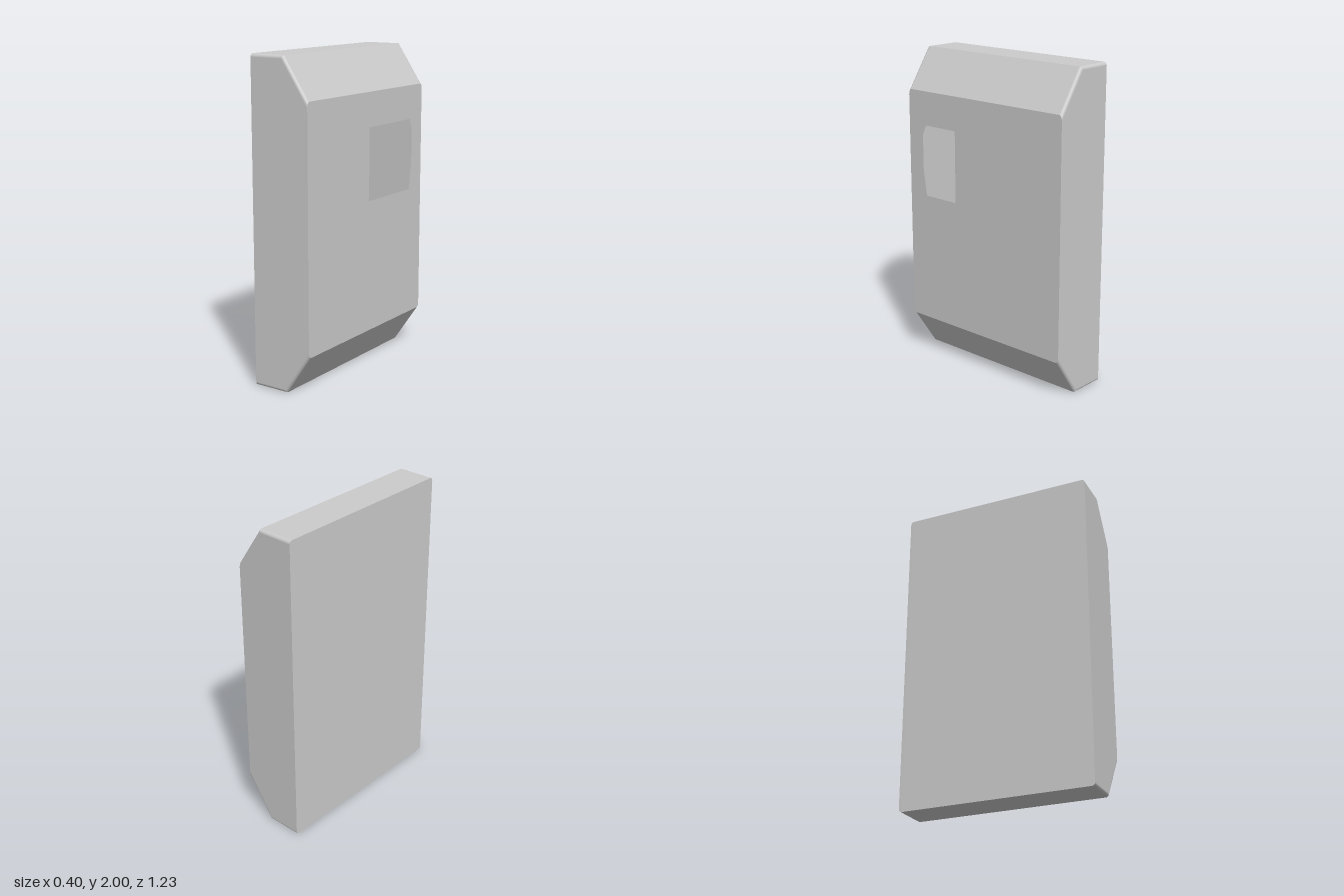
import * as THREE from 'three';

const HALF = 0.617;   // half depth along z
const R = 0.02;       // rounding of the side rims
const STEPS = 6;

// Bevelled outline in x/y, its top, bottom and slopes moved inward by d
function profile(d) {
  const x = 0.03 - 0.53 * d, y = 0.25 + 1.78 * d;
  return [[-0.2, d], [x, d], [0.2, y], [0.2, 2 - y], [x, 2 - d], [-0.2, 2 - d]];
}

// Cross-sections from one side to the other, rounding over at both rims
const sections = [];
for (const side of [-1, 1]) {
  for (let i = 0; i <= STEPS; i++) {
    const a = (side < 0 ? i - STEPS : i) / STEPS * Math.PI / 2;
    sections.push({
      a,
      z: side * (HALF - R) + R * Math.sin(a),
      points: profile(R * (1 - Math.cos(a))),
    });
  }
}

// One flat face of the outline run across all sections, with smooth rims
function strip(edge) {
  const pos = [], nor = [], index = [];
  const [p, q] = [profile(0)[edge], profile(0)[edge + 1]];
  const n = new THREE.Vector2(q[1] - p[1], p[0] - q[0]).normalize();
  sections.forEach(({ a, z, points }, k) => {
    for (const pt of [points[edge], points[edge + 1]]) {
      pos.push(pt[0], pt[1], z);
      nor.push(n.x * Math.cos(a), n.y * Math.cos(a), Math.sin(a));
    }
    if (k > 0) {
      const o = 2 * k - 2;
      index.push(o, o + 1, o + 2, o + 1, o + 3, o + 2);
    }
  });
  const g = new THREE.BufferGeometry();
  g.setAttribute('position', new THREE.Float32BufferAttribute(pos, 3));
  g.setAttribute('normal', new THREE.Float32BufferAttribute(nor, 3));
  g.setIndex(index);
  return g;
}

const toShape = (pts) => new THREE.Shape(pts.map(([x, y]) => new THREE.Vector2(x, y)));

// Outline of an upright panel in z/y, between two corners of the profile
function panelShape(low, high) {
  const bottom = sections.map((s) => [s.z, s.points[low][1]]);
  const top = sections.map((s) => [s.z, s.points[high][1]]).reverse();
  return toShape([...bottom, ...top]);
}

export function createModel() {
  const group = new THREE.Group();
  const material = new THREE.MeshStandardMaterial({ color: 0xcccccc, side: THREE.DoubleSide });
  const add = (name, geometry) => {
    const mesh = new THREE.Mesh(geometry, material);
    mesh.name = name;
    group.add(mesh);
  };

  // Top, bottom and the two slopes
  add('bottomFace', strip(0));
  add('lowerSlope', strip(1));
  add('upperSlope', strip(3));
  add('topFace', strip(4));

  // Face panel with a window opening into the hollow body
  const face = panelShape(2, 3);
  face.holes.push(toShape([
    [-0.475, 1.08], [-0.5, 1.25], [-0.5, 1.475], [-0.47, 1.535],
    [0.47, 1.535], [0.5, 1.475], [0.5, 1.25], [0.475, 1.08],
  ]));
  add('windowPanel', new THREE.ShapeGeometry(face).rotateY(Math.PI / 2).translate(0.2, 0, 0));

  // Plain rear panel
  add('rearPanel', new THREE.ShapeGeometry(panelShape(0, 5)).rotateY(-Math.PI / 2).translate(-0.2, 0, 0));

  // Side walls
  const wall = toShape(profile(R));
  add('frontWall', new THREE.ShapeGeometry(wall).translate(0, 0, HALF));
  const back = new THREE.ShapeGeometry(wall).rotateY(Math.PI).scale(-1, 1, 1).translate(0, 0, -HALF);
  back.setIndex([...back.index.array].reverse());
  add('backWall', back);

  return group;
}
